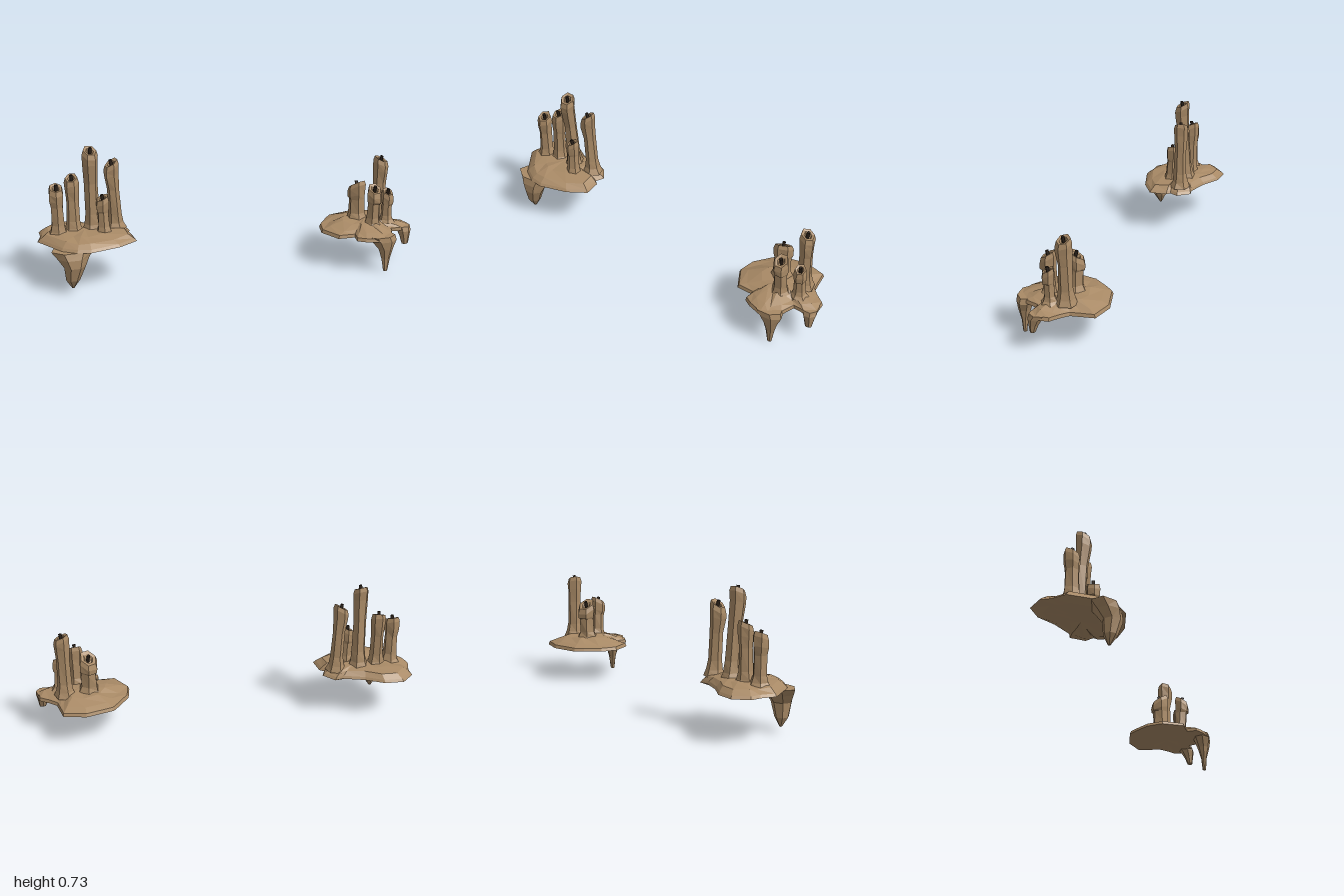
import * as THREE from 'three';

const wax = new THREE.MeshStandardMaterial({ color: 0xa98a66 });
wax.name = 'brown wax';
const char = new THREE.MeshStandardMaterial({ color: 0x2a2018 });
char.name = 'charred wick';

// small repeatable irregularity in -1..1
const wobble = (n) => { const s = Math.sin(n * 127.1 + 3.7) * 43758.5453; return (s - Math.floor(s)) * 2 - 1; };

// flat-shaded skin through closed rings, listed from bottom to top
function loft(rings) {
  const pos = [];
  const tri = (a, b, c) => {
    const same = (p, q) => Math.hypot(p[0] - q[0], p[1] - q[1], p[2] - q[2]) < 1e-6;
    if (!same(a, b) && !same(b, c) && !same(a, c)) pos.push(...a, ...b, ...c);
  };
  for (let i = 0; i < rings.length - 1; i++) {
    const lo = rings[i], hi = rings[i + 1], n = lo.length;
    for (let j = 0; j < n; j++) {
      const k = (j + 1) % n;
      tri(lo[j], hi[j], hi[k]);
      tri(lo[j], hi[k], lo[k]);
    }
  }
  const g = new THREE.BufferGeometry();
  g.setAttribute('position', new THREE.Float32BufferAttribute(pos, 3));
  g.computeVertexNormals();
  return g;
}

function mesh(name, geometry, material = wax) {
  const m = new THREE.Mesh(geometry, material);
  m.name = name;
  return m;
}

// elliptical ring
function oval(x, y, z, rx, rz, n = 6, turn = 0) {
  return Array.from({ length: n }, (_, j) => {
    const a = turn + (j / n) * Math.PI * 2;
    return [x + Math.cos(a) * rx, y, z + Math.sin(a) * rz];
  });
}

// pool of set wax: outline scaled about its centre, levels of [scale, y, roughness]
function pool(name, outline, cx, cz, levels) {
  return mesh(name, loft(levels.map(([s, y, rough], i) => outline.map(([x, z], j) => {
    const k = s * (1 + rough * 4 * wobble(i * 31 + j));
    return [cx + (x - cx) * k, y + rough * wobble(i * 17 + j + 5), cz + (z - cz) * k];
  }))));
}

// six-sided candle with a flared foot, a slanted hollow rim and a burnt wick
function candle({ foot, top, y0, h, r, slant, seed }) {
  const g = new THREE.Group();
  g.name = 'candle';
  const [sx, sz] = slant;
  // [height share, radius share, drop below the rim, share of the slant]
  const levels = [[0, 1.55, 0, 0], [0.09, 1.18, 0, 0], [0.22, 0.97, 0, 0], [0.6, 0.92, 0, 0],
    [1, 1.06, 0.065, 0.5], [1, 1.1, 0.025, 1], [1, 0.92, 0, 1], [1, 0.55, 0.004, 1], [1, 0.4, 0.022, 1], [1, 0, 0.024, 1]];
  const rings = levels.map(([t, k, drop, lean], i) => {
    const cx = foot[0] + (top[0] - foot[0]) * t, cz = foot[1] + (top[1] - foot[1]) * t;
    const ring = oval(cx, y0 + (h - y0) * t - drop, cz, r * k, r * k, 6, seed * 0.7);
    return ring.map(([x, y, z], j) => {
      const f = i < 5 ? 1 + 0.07 * wobble(seed * 50 + i * 6 + j) : 1;
      // the rim drops toward the slant direction
      const dy = lean * ((x - cx) * sx + (z - cz) * sz);
      return [cx + (x - cx) * f, y - dy, cz + (z - cz) * f];
    });
  });
  g.add(mesh('candleBody', loft(rings)));

  const wick = mesh('wick', new THREE.CylinderGeometry(0.009, 0.01, 0.042, 5), char);
  wick.position.set(top[0], h - 0.004, top[1]);
  wick.rotation.set(sz * 0.45, 0, -sx * 0.45);
  g.add(wick);
  return g;
}

// hanging drip, sections of [x, y, z, rx, rz], closed at the lower end
function drip(sections) {
  const [x, y, z] = sections[0];
  const rings = [oval(x, y, z, 0, 0, 7), ...sections.map((s) => oval(...s, 7, 0.3))];
  const [ex, ey, ez] = sections[sections.length - 1];
  rings.push(oval(ex, ey, ez, 0, 0, 7));
  return mesh('waxDrip', loft(rings));
}

export function createModel() {
  const model = new THREE.Group();
  model.name = 'candleClusters';

  // cluster of five on the model's right
  const right = new THREE.Group();
  right.name = 'rightCluster';
  const rightOutline = [[-1, -0.155], [-0.97, -0.23], [-0.965, -0.29], [-0.89, -0.35], [-0.79, -0.335], [-0.70, -0.27],
    [-0.59, -0.22], [-0.545, -0.225], [-0.50, -0.155], [-0.525, -0.11], [-0.505, -0.09], [-0.505, 0.005],
    [-0.61, 0.06], [-0.77, 0.09], [-0.84, 0.07], [-0.91, 0.015]];
  right.add(pool('rightWaxPool', rightOutline, -0.75, -0.13, [[0, 0.217, 0], [0.4, 0.219, 0.006], [0.75, 0.224, 0.006],
    [1, 0.236, 0], [0.95, 0.25, 0], [0.82, 0.272, 0.005], [0.5, 0.284, 0.004], [0, 0.286, 0]]));
  [
    { foot: [-0.885, -0.155], top: [-0.89, -0.155], h: 0.525, r: 0.038, slant: [0, 0.45] },
    { foot: [-0.80, -0.165], top: [-0.803, -0.17], h: 0.565, r: 0.036, slant: [-0.2, 0.4] },
    { foot: [-0.70, -0.16], top: [-0.708, -0.132], h: 0.715, r: 0.039, slant: [0.1, 0.5] },
    { foot: [-0.655, -0.085], top: [-0.66, -0.09], h: 0.465, r: 0.034, slant: [-0.45, 0.1] },
    { foot: [-0.573, -0.155], top: [-0.592, -0.152], h: 0.63, r: 0.037, slant: [-0.6, 0.1] },
  ].forEach((c, i) => right.add(candle({ ...c, y0: 0.265, seed: i + 1 })));
  right.add(drip([[-0.85, 0.236, 0.0, 0.115, 0.075], [-0.852, 0.2, 0.02, 0.085, 0.066], [-0.85, 0.155, 0.038, 0.058, 0.05],
    [-0.86, 0.08, 0.03, 0.038, 0.035], [-0.86, 0.03, 0.025, 0.006, 0.006]]));
  model.add(right);

  // cluster of four on the model's left
  const left = new THREE.Group();
  left.name = 'leftCluster';
  const leftOutline = [[0.51, 0.105], [0.535, 0.015], [0.60, -0.06], [0.64, -0.10], [0.79, -0.125], [0.905, -0.085],
    [0.91, -0.015], [0.915, 0.04], [0.95, 0.08], [0.995, 0.12], [0.995, 0.19], [0.94, 0.225], [0.88, 0.215],
    [0.845, 0.295], [0.79, 0.335], [0.75, 0.345], [0.68, 0.315], [0.64, 0.285], [0.65, 0.23], [0.56, 0.22]];
  left.add(pool('leftWaxPool', leftOutline, 0.77, 0.10, [[0, 0.181, 0], [0.45, 0.184, 0.003], [0.8, 0.183, 0.003],
    [1, 0.182, 0], [0.97, 0.2, 0], [0.8, 0.212, 0.006], [0.5, 0.235, 0.006], [0, 0.242, 0]]));
  [
    { foot: [0.735, 0.07], top: [0.732, 0.062], h: 0.425, r: 0.047, slant: [-0.2, -0.6] },
    { foot: [0.86, 0.072], top: [0.865, 0.08], h: 0.56, r: 0.038, slant: [0.4, 0.2] },
    { foot: [0.78, 0.175], top: [0.78, 0.188], h: 0.432, r: 0.038, slant: [0, 0.6] },
    { foot: [0.875, 0.15], top: [0.875, 0.158], h: 0.395, r: 0.031, slant: [0.1, 0.5] },
  ].forEach((c, i) => left.add(candle({ ...c, y0: 0.22, seed: i + 7 })));
  left.add(drip([[0.775, 0.203, 0.295, 0.08, 0.052], [0.79, 0.175, 0.303, 0.072, 0.046], [0.798, 0.13, 0.308, 0.043, 0.033],
    [0.8, 0.07, 0.309, 0.025, 0.016], [0.8, 0, 0.31, 0.012, 0.01]]));
  left.add(drip([[0.958, 0.2, 0.18, 0.042, 0.05], [0.96, 0.175, 0.198, 0.04, 0.038], [0.963, 0.14, 0.206, 0.028, 0.025],
    [0.964, 0.1, 0.211, 0.019, 0.014]]));
  model.add(left);

  // loft runs upward, so the downward drips are turned the right way out
  model.traverse((o) => {
    if (o.name !== 'waxDrip') return;
    const p = o.geometry.attributes.position;
    for (let i = 0; i < p.count; i += 3) {
      const b = [p.getX(i + 1), p.getY(i + 1), p.getZ(i + 1)];
      p.setXYZ(i + 1, p.getX(i + 2), p.getY(i + 2), p.getZ(i + 2));
      p.setXYZ(i + 2, ...b);
    }
    o.geometry.computeVertexNormals();
  });
  return model;
}
